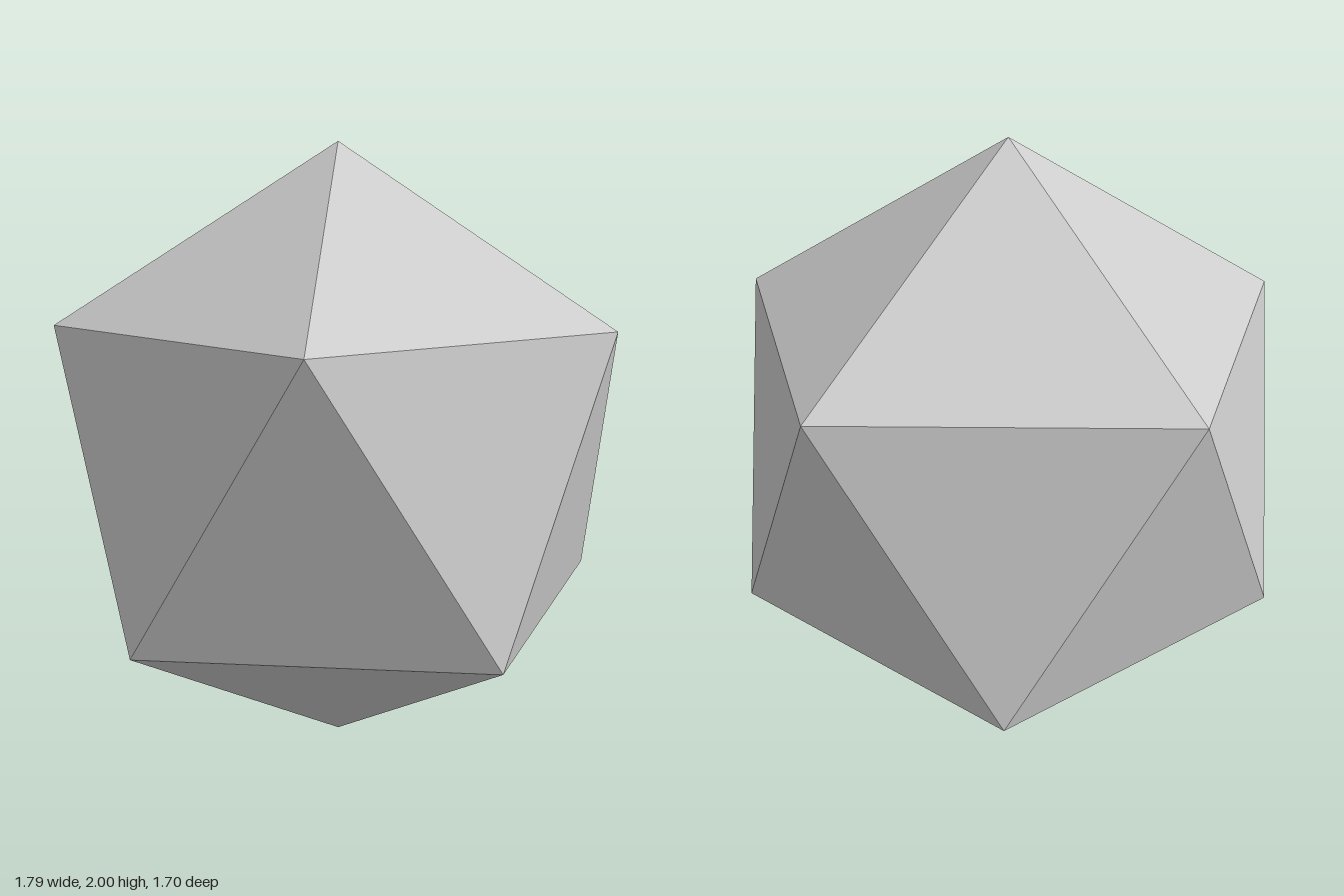
import * as THREE from 'three';

export function createModel() {
  const group = new THREE.Group();
  const material = new THREE.MeshStandardMaterial({ color: 0xcccccc, flatShading: true });

  // Twenty-sided body, tipped so that it stands on one corner
  const golden = (1 + Math.sqrt(5)) / 2;
  const bodyGeometry = new THREE.IcosahedronGeometry(1, 0);
  bodyGeometry.rotateZ(-Math.atan(1 / golden));
  const body = new THREE.Mesh(bodyGeometry, material);
  body.name = 'body';
  body.position.y = 1;
  group.add(body);

  // Small eight-sided peg sunk into the underside, behind the bottom corner
  const bottom = 0.075, top = 0.23;
  const peg = new THREE.Mesh(new THREE.CylinderGeometry(0.08, 0.08, top - bottom, 8), material);
  peg.name = 'peg';
  peg.position.set(-0.065, (bottom + top) / 2, -0.2);
  group.add(peg);

  return group;
}
